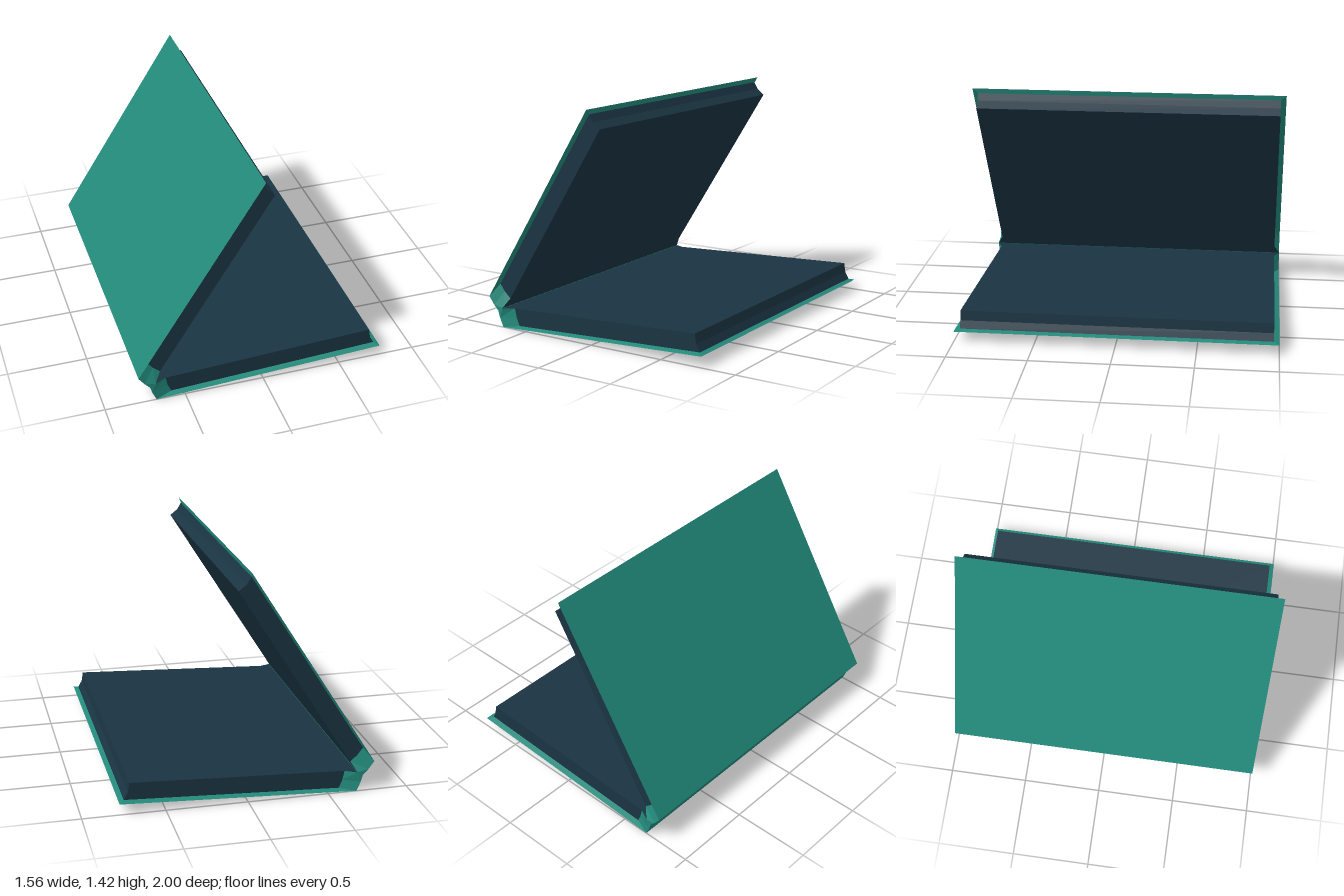
import * as THREE from 'three';

const COVER_Z = 1;
const PAGE_Z = 0.965;

// Profile points of the lower half: [x, y, half length along z]
const P = {
  spineLow: [-0.68, 0.003, COVER_Z],
  spineMid: [-0.705, 0.06, COVER_Z],
  spineTop: [-0.72, 0.11, COVER_Z],
  crease: [-0.682, 0.124, COVER_Z],
  coverEdge: [0.775, 0.07, COVER_Z],
  foreLow: [0.745, 0.08, PAGE_Z],
  foreMid: [0.72, 0.125, PAGE_Z],
  foreTop: [0.71, 0.186, PAGE_Z],
  backLow: [-0.578, 0.018, PAGE_Z],
  backMid: [-0.6, 0.07, PAGE_Z],
  backTop: [-0.612, 0.127, PAGE_Z],
};

// Each part: bands run the full length, ends close both sides
const PARTS = {
  cover: {
    color: 0x22897a,
    bands: [['crease', 'spineTop', 'spineMid', 'spineLow', 'coverEdge', 'foreLow']],
    ends: [
      ['spineLow', 'coverEdge', 'foreLow', 'backLow'],
      ['spineLow', 'backLow', 'backMid', 'spineMid'],
      ['spineMid', 'backMid', 'backTop', 'crease'],
      ['spineMid', 'crease', 'spineTop'],
    ],
  },
  pages: {
    color: 0x1a3442,
    bands: [['foreLow', 'foreMid', 'foreTop', 'backTop', 'crease']],
    ends: [
      ['backLow', 'foreLow', 'foreMid', 'backMid'],
      ['backMid', 'foreMid', 'foreTop', 'backTop'],
    ],
  },
};

// The upper half is the lower one reflected in the line bisecting the opening
const AXIS = { x: -0.73, y: 0.0975, angle: THREE.MathUtils.degToRad(60.4) };
function reflect([x, y, z]) {
  const c = Math.cos(AXIS.angle), s = Math.sin(AXIS.angle);
  const dx = x - AXIS.x, dy = y - AXIS.y;
  return [AXIS.x + dx * c + dy * s, AXIS.y + dx * s - dy * c, z];
}

function buildPart(part, upper) {
  const verts = [];
  const at = (name, side) => {
    const [x, y, z] = upper ? reflect(P[name]) : P[name];
    return [x, y, z * side];
  };
  // Fan of triangles; reflection reverses the corner order
  const face = (corners) => {
    const c = upper ? [...corners].reverse() : corners;
    for (let i = 1; i < c.length - 1; i++) verts.push(...c[0], ...c[i], ...c[i + 1]);
  };
  for (const band of part.bands) {
    for (let i = 0; i < band.length - 1; i++) {
      const [a, b] = [band[i], band[i + 1]];
      face([at(a, 1), at(a, -1), at(b, -1), at(b, 1)]);
    }
  }
  for (const end of part.ends) {
    face(end.map((n) => at(n, 1)));
    face(end.map((n) => at(n, -1)).reverse());
  }
  const geometry = new THREE.BufferGeometry();
  geometry.setAttribute('position', new THREE.Float32BufferAttribute(verts, 3));
  geometry.computeVertexNormals();
  return new THREE.Mesh(geometry, new THREE.MeshStandardMaterial({
    color: part.color, flatShading: true, side: THREE.DoubleSide,
  }));
}

export function createModel() {
  const book = new THREE.Group();
  book.name = 'openBook';
  for (const upper of [false, true]) {
    const half = new THREE.Group();
    half.name = upper ? 'upperHalf' : 'lowerHalf';
    for (const [name, part] of Object.entries(PARTS)) {
      const mesh = buildPart(part, upper);
      mesh.name = name;
      half.add(mesh);
    }
    book.add(half);
  }
  return book;
}
